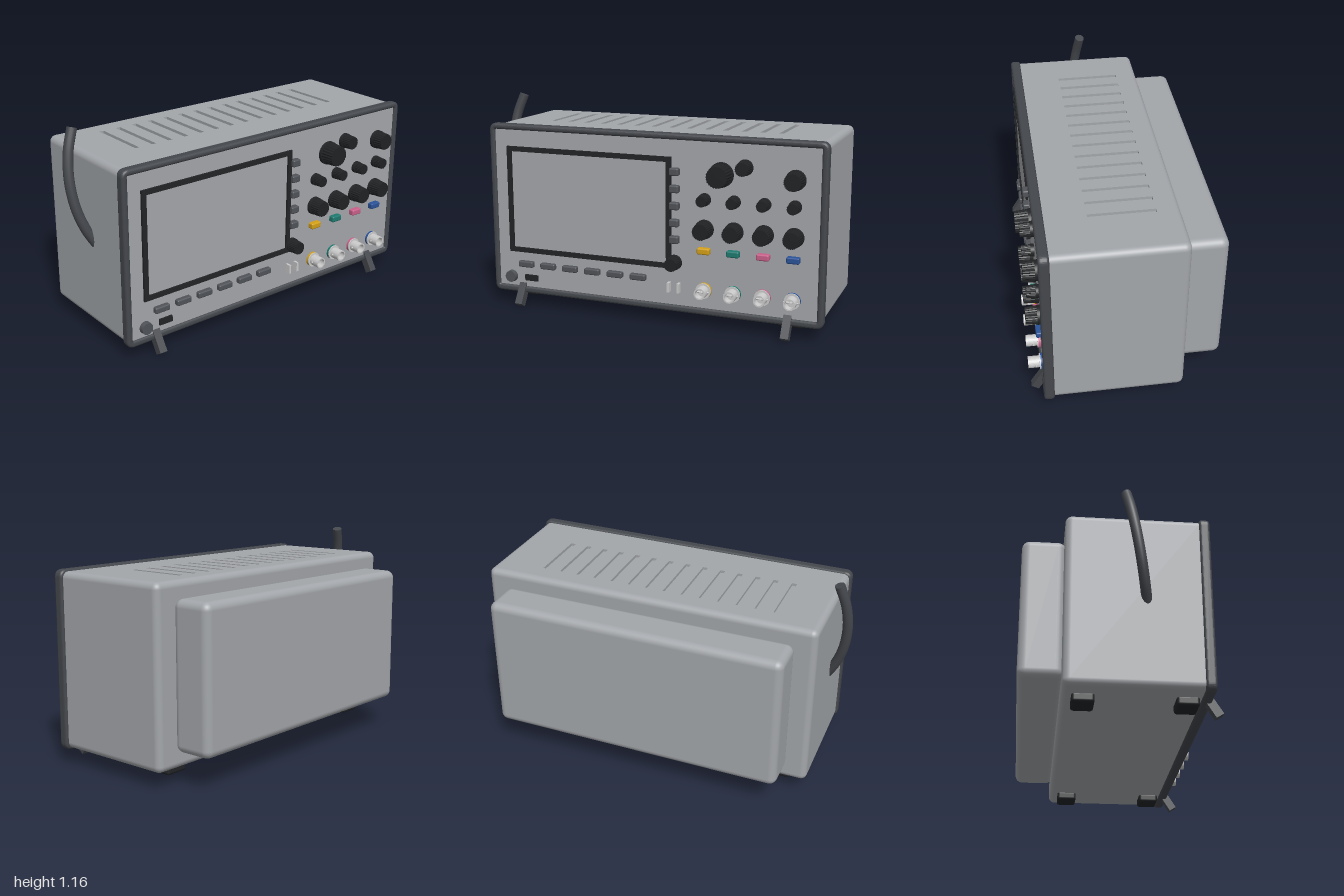
import * as THREE from 'three';
import { RoundedBoxGeometry } from 'three/addons/geometries/RoundedBoxGeometry.js';

const mat = (color, extra = {}) => Object.assign(new THREE.MeshStandardMaterial({ color }), extra);
const M = {
  shell: mat(0xa3a6aa), bezel: mat(0x44474c), key: mat(0x505358), black: mat(0x222426),
  knob: mat(0x202224, { flatShading: true }), metal: mat(0xcccccc),
};
const CHANNELS = [0xd4a017, 0x1f7a70, 0xc9608a, 0x2a5298];
const COLS = [0.36, 0.52, 0.68, 0.837];
const FACE = 0.424; // z of the front panel

export function createModel() {
  const root = new THREE.Group();
  const add = (name, geo, material, x = 0, y = 0, z = 0) => {
    const m = new THREE.Mesh(geo, material);
    m.name = name;
    m.position.set(x, y, z);
    root.add(m);
    return m;
  };
  // Rounded box given by its limits
  const block = (name, [x0, x1], [y0, y1], [z0, z1], r, material) => add(name,
    new RoundedBoxGeometry(x1 - x0, y1 - y0, z1 - z0, 4, r), material,
    (x0 + x1) / 2, (y0 + y1) / 2, (z0 + z1) / 2);
  // Cylinder pointing forward, from z0 to z1
  const disc = (name, x, y, r0, r1, z0, z1, material) => add(name,
    new THREE.CylinderGeometry(r1, r0, z1 - z0, 32).rotateX(Math.PI / 2), material, x, y, (z0 + z1) / 2);
  const roundRect = (S, x0, x1, y0, y1, r) => {
    const s = new S();
    s.moveTo(x0 + r, y0);
    s.lineTo(x1 - r, y0); s.quadraticCurveTo(x1, y0, x1, y0 + r);
    s.lineTo(x1, y1 - r); s.quadraticCurveTo(x1, y1, x1 - r, y1);
    s.lineTo(x0 + r, y1); s.quadraticCurveTo(x0, y1, x0, y1 - r);
    s.lineTo(x0, y0 + r); s.quadraticCurveTo(x0, y0, x0 + r, y0);
    return s;
  };
  const rect = (S, x0, x1, y0, y1) => new S([[x0, y0], [x1, y0], [x1, y1], [x0, y1]].map((p) => new THREE.Vector2(...p)));

  // Housing, with its flat top opened for the slotted deck
  const R = 0.035, bx = [-0.892, 0.986], by = [0.09, 1.03], bz = [-0.297, 0.41];
  const housing = block('housing', bx, by, bz, R, M.shell);
  const g = housing.geometry, top = (by[1] - by[0]) / 2 - 1e-5;
  const pos = g.attributes.position, keepP = [], keepN = [];
  for (let i = 0; i < pos.count; i += 3) {
    if ([0, 1, 2].every((k) => pos.getY(i + k) > top)) continue;
    for (let k = 0; k < 9; k++) {
      keepP.push(pos.array[i * 3 + k]);
      keepN.push(g.attributes.normal.array[i * 3 + k]);
    }
  }
  housing.geometry = new THREE.BufferGeometry();
  housing.geometry.setAttribute('position', new THREE.Float32BufferAttribute(keepP, 3));
  housing.geometry.setAttribute('normal', new THREE.Float32BufferAttribute(keepN, 3));

  // Deck with fourteen ventilation slots and a floor under them
  const deck = rect(THREE.Shape, bx[0] + R, bx[1] - R, -bz[1] + R, -bz[0] - R);
  for (let i = 0; i < 14; i++) {
    const x = -0.639 + i * 0.1024;
    deck.holes.push(rect(THREE.Path, x - 0.014, x + 0.014, -0.168, 0.174));
  }
  add('ventDeck', new THREE.ExtrudeGeometry(deck, { depth: 0.02, bevelEnabled: false }).rotateX(-Math.PI / 2),
    M.shell, 0, by[1] - 0.02, 0);
  add('ventFloor', new THREE.BoxGeometry(1.5, 0.01, 0.4), M.shell, 0.03, by[1] - 0.02, 0);

  block('rearPack', [-0.78, 0.872], [0.177, 0.943], [-0.512, -0.285], 0.042, M.shell);
  block('frontPanel', [-0.88, 0.975], [0.1, 1.02], [0.38, FACE], 0.005, M.shell);

  // Rounded bezel around the front panel
  const b = 0.015;
  const frame = roundRect(THREE.Shape, -0.902 + b, 1 - b, 0.08 + b, 1.04 - b, 0.025);
  frame.holes.push(roundRect(THREE.Path, -0.868 - b, 0.964 + b, 0.118 - b, 1.007 + b, 0.022));
  add('bezel', new THREE.ExtrudeGeometry(frame, {
    depth: 0.055 - 2 * b, bevelThickness: b, bevelSize: b, bevelSegments: 5, curveSegments: 8,
  }), M.bezel, 0, 0, 0.38 + b);

  // Display and its surround
  const surround = rect(THREE.Shape, -0.795, 0.175, 0.318, 0.917);
  surround.holes.push(rect(THREE.Path, -0.768, 0.148, 0.345, 0.89));
  add('screenFrame', new THREE.ExtrudeGeometry(surround, { depth: 0.02, bevelEnabled: false }), M.black, 0, 0, 0.416);
  add('screen', new THREE.BoxGeometry(0.93, 0.56, 0.01), M.shell, -0.31, 0.6175, FACE - 0.003);

  // Push buttons
  const button = (name, x, y, w, h, material, z1 = 0.455) =>
    block(name, [x - w / 2, x + w / 2], [y - h / 2, y + h / 2], [0.41, z1], 0.008, material);
  for (let i = 0; i < 5; i++) button('sideKey', 0.196, 0.842 - i * 0.0908, 0.052, 0.04, M.key);
  for (let i = 0; i < 6; i++) button('lowerKey', -0.693 + i * 0.136, 0.251, 0.09, 0.034, M.key, 0.45);
  disc('powerButton', -0.791, 0.171, 0.034, 0.032, 0.41, 0.45, M.key);
  add('usbPort', new THREE.BoxGeometry(0.08, 0.034, 0.02), M.black, -0.666, 0.171, FACE);

  // Tapered, fluted knobs: x, y, radius, front z
  const knob = (x, y, r, z1) => {
    const n = 48, geo = new THREE.CylinderGeometry(r * 0.86, r * 0.97, z1 - FACE, n);
    const p = geo.attributes.position;
    for (let i = 0; i < p.count; i++) {
      const tooth = Math.round(Math.atan2(p.getX(i), p.getZ(i)) / (2 * Math.PI / n));
      const s = tooth % 2 ? 0.94 : 1;
      p.setX(i, p.getX(i) * s);
      p.setZ(i, p.getZ(i) * s);
    }
    add('knob', geo.rotateX(Math.PI / 2), M.knob, x, y, (FACE + z1) / 2);
    disc('knobSkirt', x, y, r, r * 0.98, 0.41, 0.443, M.black);
  };
  [[0.449, 0.842, 0.066, 0.513], [0.575, 0.888, 0.042, 0.495], [0.837, 0.842, 0.053, 0.502],
    [0.195, 0.353, 0.041, 0.495]].forEach((k) => knob(...k));

  // Four channel columns: small knob, large knob, coloured key, input socket
  COLS.forEach((x, i) => {
    const colour = mat(CHANNELS[i]);
    knob(x, 0.706, 0.034, 0.49);
    knob(x, 0.548, 0.051, 0.502);
    button('channelKey', x, 0.433, 0.068, 0.034, colour);
    disc('socketRing', x, 0.217, 0.042, 0.042, 0.41, 0.437, colour);
    disc('socketFlange', x, 0.217, 0.042, 0.042, 0.437, 0.443, M.metal);
    const barrel = [[0.031, 0], [0.031, 0.062], [0.024, 0.062], [0.024, 0.02], [0, 0.02]];
    add('socketBarrel', new THREE.LatheGeometry(barrel.map((q) => new THREE.Vector2(...q)), 32).rotateX(Math.PI / 2),
      mat(0xcccccc, { side: THREE.DoubleSide, flatShading: true }), x, 0.217, 0.44);
    disc('socketPin', x, 0.217, 0.007, 0.007, 0.44, 0.485, M.metal);
    add('bayonetPins', new THREE.CylinderGeometry(0.005, 0.005, 0.078, 10).rotateZ(Math.PI / 2), M.metal, x, 0.217, 0.463);
  });

  // Test terminals
  for (const x of [0.167, 0.222]) add('testTerminal', new THREE.BoxGeometry(0.013, 0.052, 0.04), M.metal, x, 0.217, 0.435);

  // Feet, and fold-out tilt legs
  for (const x of [-0.724, 0.812]) {
    for (const z of [0.313, -0.193]) block('foot', [x - 0.065, x + 0.065], [0.048, 0.1], [z - 0.056, z + 0.056], 0.015, M.black);
    const leg = add('tiltLeg', new THREE.BoxGeometry(0.043, 0.14, 0.044), M.bezel, x, 0.078, 0.435);
    leg.rotation.x = -0.56;
  }

  // Curved carrying handle on the right side
  const path = new THREE.CatmullRomCurve3([[-0.915, 1.153, 0.008], [-0.953, 1.04, 0.027], [-0.97, 0.9, 0.05],
    [-0.955, 0.75, 0.075], [-0.915, 0.63, 0.096], [-0.865, 0.54, 0.112]].map((q) => new THREE.Vector3(...q)));
  add('handle', new THREE.TubeGeometry(path, 40, 0.027, 16), M.bezel);
  const cap = add('handleEnd', new THREE.CircleGeometry(0.027, 16), M.bezel);
  cap.position.copy(path.getPoint(0));
  cap.lookAt(path.getPoint(0).sub(path.getTangent(0)));

  return root;
}
